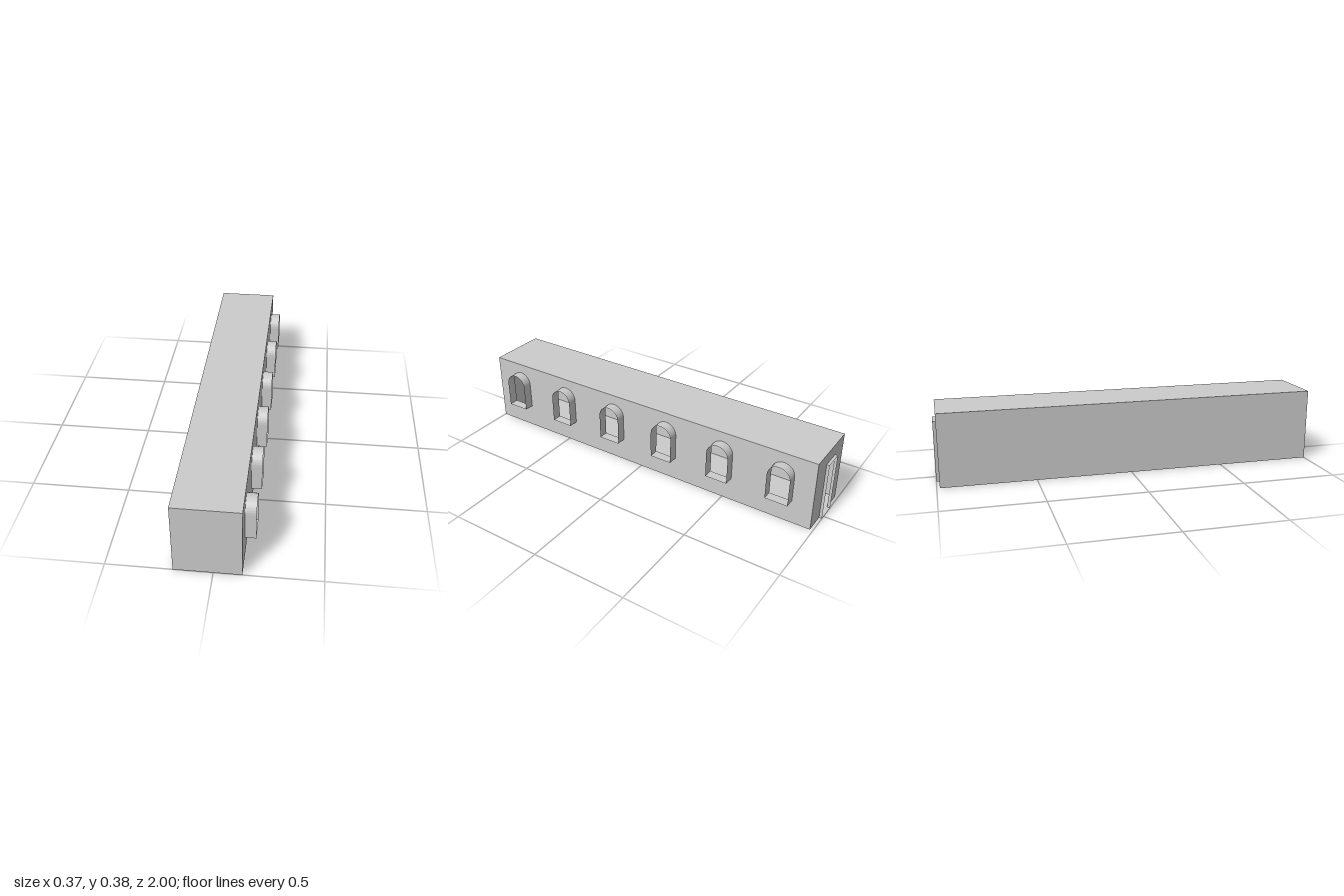
import * as THREE from 'three';

const X0 = -0.185, X1 = 0.132, H = 0.38, Z0 = -0.985, Z1 = 1;
const WIDTH = X1 - X0, LENGTH = Z1 - Z0, MID_X = (X0 + X1) / 2, MID_Z = (Z0 + Z1) / 2;
const material = new THREE.MeshStandardMaterial({ color: 0xcccccc, side: THREE.DoubleSide });

// Counter-clockwise rectangle outline
function rect(u0, u1, v0, v1) {
  return [[u0, v0], [u1, v0], [u1, v1], [u0, v1]].map(([u, v]) => new THREE.Vector2(u, v));
}

// Counter-clockwise outline of a round-headed window centred on u
function arch(u) {
  const r = 0.06, spring = 0.268, steps = 16;
  const points = [new THREE.Vector2(u - r, 0.128), new THREE.Vector2(u + r, 0.128)];
  for (let i = 0; i <= steps; i++) {
    const a = Math.PI * i / steps;
    points.push(new THREE.Vector2(u + r * Math.cos(a), spring + r * Math.sin(a)));
  }
  return points;
}

// Thin open-ended tube that carries an outline forward along +z
function sleeveGeometry(outline, depth) {
  const pos = [];
  outline.forEach((a, i) => {
    const b = outline[(i + 1) % outline.length];
    pos.push(a.x, a.y, 0, b.x, b.y, 0, b.x, b.y, depth);
    pos.push(a.x, a.y, 0, b.x, b.y, depth, a.x, a.y, depth);
  });
  const geometry = new THREE.BufferGeometry();
  geometry.setAttribute('position', new THREE.Float32BufferAttribute(pos, 3));
  geometry.computeVertexNormals();
  return geometry;
}

function add(parent, name, geometry) {
  const mesh = new THREE.Mesh(geometry, material);
  mesh.name = name;
  parent.add(mesh);
  return mesh;
}

export function createModel() {
  const model = new THREE.Group();
  model.name = 'corridor';

  // Plain thin-walled sides of the hollow corridor
  add(model, 'floor', new THREE.PlaneGeometry(WIDTH, LENGTH).rotateX(Math.PI / 2)).position.set(MID_X, 0, MID_Z);
  add(model, 'ceiling', new THREE.PlaneGeometry(WIDTH, LENGTH).rotateX(-Math.PI / 2)).position.set(MID_X, H, MID_Z);
  add(model, 'frontWall', new THREE.PlaneGeometry(WIDTH, H)).position.set(MID_X, H / 2, Z1);
  add(model, 'blankSideWall', new THREE.PlaneGeometry(LENGTH, H).rotateY(-Math.PI / 2)).position.set(X0, H / 2, MID_Z);

  // Window wall, drawn facing +z and turned to face +x
  const windowSide = new THREE.Group();
  windowSide.name = 'windowSide';
  windowSide.rotation.y = Math.PI / 2;
  windowSide.position.x = X1;
  model.add(windowSide);
  const wall = new THREE.Shape(rect(-Z1, -Z0, 0, H));
  for (let i = 0; i < 6; i++) {
    const outline = arch(-0.833 + i * 0.33);
    wall.holes.push(new THREE.Path(outline));
    add(windowSide, 'windowSurround', sleeveGeometry(outline, 0.052));
  }
  add(windowSide, 'windowWall', new THREE.ShapeGeometry(wall));

  // Back wall with a doorway reaching the floor, turned to face -z
  const backSide = new THREE.Group();
  backSide.name = 'backSide';
  backSide.rotation.y = Math.PI;
  backSide.position.z = Z0;
  model.add(backSide);
  const d0 = -0.021, d1 = 0.082, top = 0.316;
  const backWall = new THREE.Shape([
    [-X1, 0], [d0, 0], [d0, top], [d1, top], [d1, 0], [-X0, 0], [-X0, H], [-X1, H],
  ].map(([u, v]) => new THREE.Vector2(u, v)));
  add(backSide, 'backWall', new THREE.ShapeGeometry(backWall));
  add(backSide, 'doorFrame', sleeveGeometry(rect(d0, d1, 0, top), 0.015));

  return model;
}
